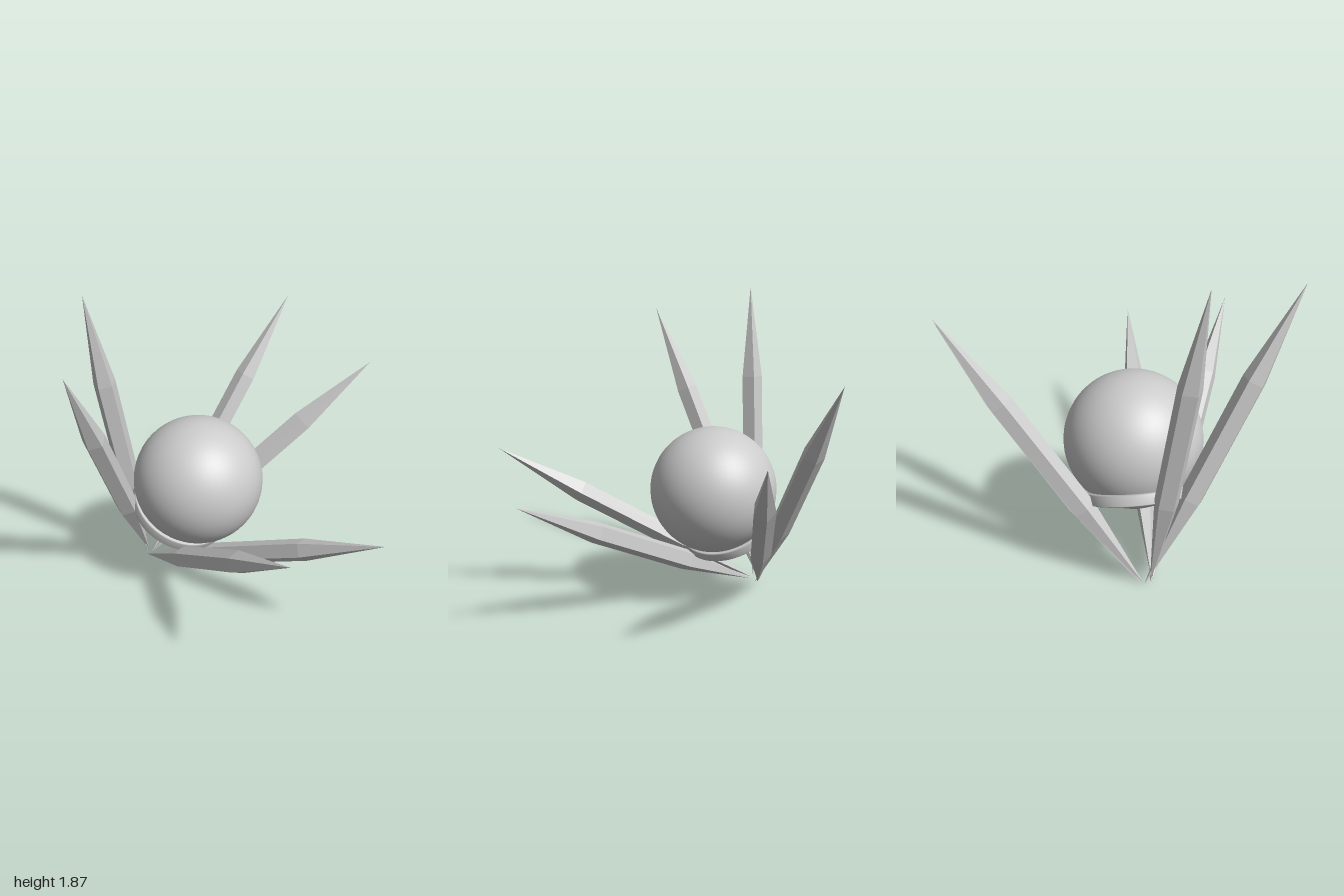
import * as THREE from 'three';

const V = (x, y, z) => new THREE.Vector3(x, y, z);
const UP = V(0, 1, 0);

export function createModel() {
  const model = new THREE.Group();
  model.name = 'spikedOrb';
  const smooth = new THREE.MeshStandardMaterial({ color: 0xcccccc });
  const faceted = new THREE.MeshStandardMaterial({ color: 0xcccccc, flatShading: true });

  const add = (name, geometry, material, position, direction = UP) => {
    const mesh = new THREE.Mesh(geometry, material);
    mesh.name = name;
    mesh.position.copy(position);
    mesh.quaternion.setFromUnitVectors(UP, direction.clone().normalize());
    model.add(mesh);
    return mesh;
  };

  // Orb
  const centre = V(-0.16, 0.72, -0.4);
  add('orb', new THREE.SphereGeometry(0.382, 48, 32), smooth, centre);

  // Collar ring seated under the orb, facing the root of the spikes
  const axis = V(0.11, 0.7, 0.38).normalize();
  const [inner, outer, half, bevel] = [0.25, 0.302, 0.032, 0.006];
  const profile = [
    [inner, -half], [outer - bevel, -half], [outer, -half + bevel],
    [outer, half - bevel], [outer - bevel, half], [inner, half], [inner, -half],
  ].map(([r, y]) => new THREE.Vector2(r, y));
  add('collarRing', new THREE.LatheGeometry(profile, 48), smooth,
    centre.clone().addScaledVector(axis, -0.29), axis);

  // Spikes: five-sided blades pointed at both ends, fanned out from the root
  const spikes = [
    [V(-0.25, 0.03, -0.8), V(-1, 1.72, -0.44)],
    [V(-0.28, 0.03, -0.78), V(-0.52, 1.88, -0.86)],
    [V(-0.25, 0.01, -0.78), V(0.84, 1.52, -0.58)],
    [V(-0.24, 0.01, -0.79), V(0.99, 1.19, -0.03)],
    [V(-0.29, 0.03, -0.77), V(-0.67, 1, 0.77)],
    [V(-0.29, 0.02, -0.76), V(-0.05, 0.83, 0.89)],
  ];
  spikes.forEach(([base, tip], i) => {
    const dir = tip.clone().sub(base);
    const length = dir.length();
    const outline = [[0, 0], [0.067, 0.31], [0.066, 0.7], [0, 1]]
      .map(([r, t]) => new THREE.Vector2(r, t * length));
    add(`spike${i + 1}`, new THREE.LatheGeometry(outline, 5), faceted, base, dir);
  });

  return model;
}
